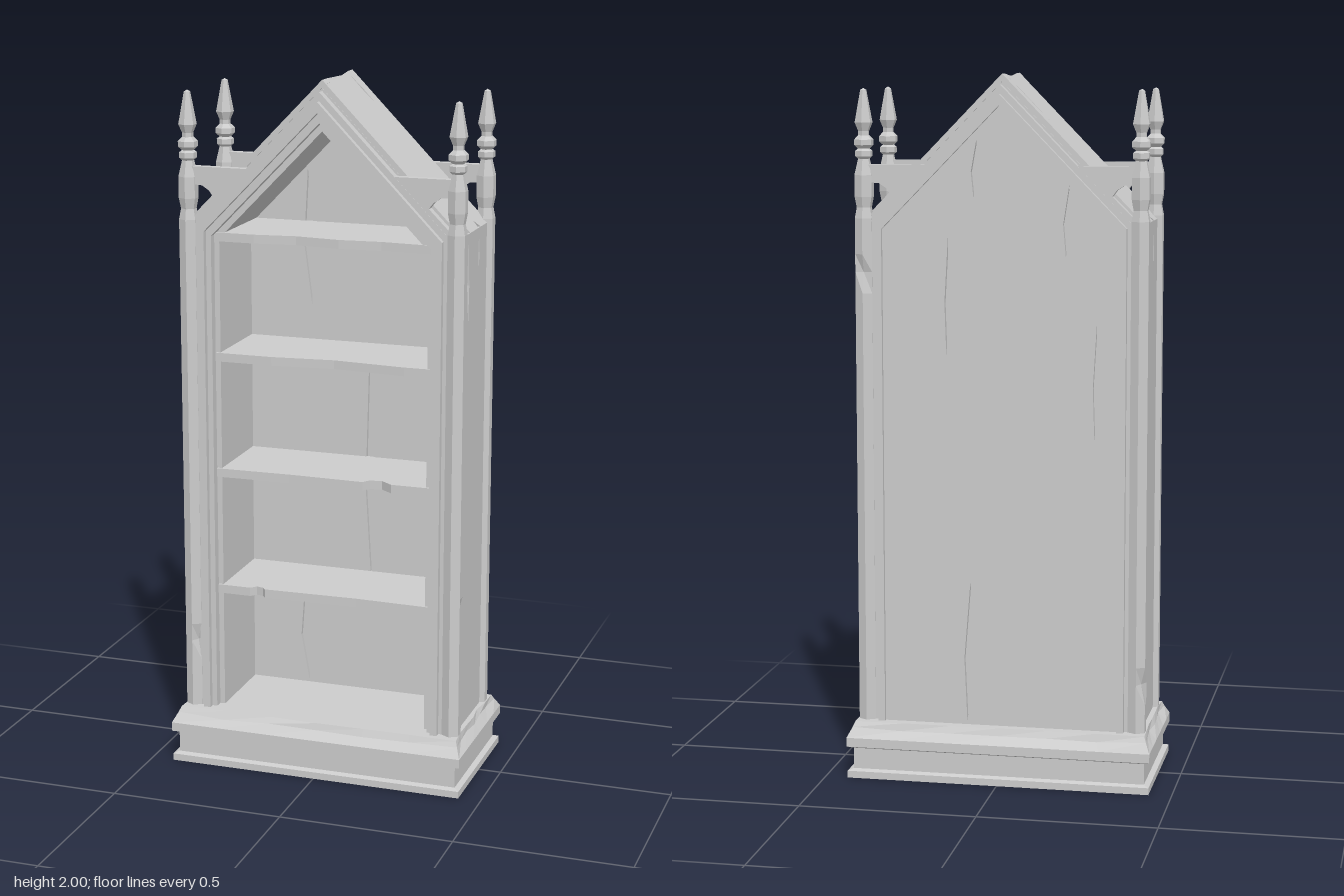
import * as THREE from 'three';

const SLOPE = 1.025; // rise of the gable per unit of half width
const FLOOR = 0.16; // top of the plinth
const mat = new THREE.MeshStandardMaterial({ color: 0xcccccc, flatShading: true, side: THREE.DoubleSide });

let seed = 7;
const rand = () => (seed = (seed * 16807) % 2147483647) / 2147483647;

const toShape = pts => new THREE.Shape(pts.map(p => new THREE.Vector2(p[0], p[1])));
const extrude = (shape, depth) => new THREE.ExtrudeGeometry(shape, { depth, bevelEnabled: false, curveSegments: 6 });

function add(parent, name, geometry) {
  const mesh = new THREE.Mesh(geometry, mat);
  mesh.name = name;
  parent.add(mesh);
  return mesh;
}

// Pointed house outline with half width w and apex height h
const gable = (w, h) => [[w, FLOOR], [w, h - w * SLOPE], [0, h], [-w, h - w * SLOPE], [-w, FLOOR]];

// Gable-shaped band, open at the bottom
const archBand = (wOut, hOut, wIn, hIn, depth) =>
  extrude(toShape([...gable(wOut, hOut), ...gable(wIn, hIn).reverse()]), depth);

// Cuts slim splits [u, v0, v1, half width] through a panel shape
function split(shape, cracks) {
  for (const [u, v0, v1, w] of cracks) {
    const m = v0 + (v1 - v0) * 0.45;
    shape.holes.push(new THREE.Path([[u + w * 0.4, v0], [u + w, m], [u - w * 0.3, v1], [u - w, m]]
      .map(p => new THREE.Vector2(...p))));
  }
  return shape;
}

// Thin outer panel lying in the plane of slope direction v and outward normal n
function skin(parent, name, shape, origin, v, n) {
  const t = 0.015;
  const mesh = add(parent, name, extrude(shape, t).translate(0, 0, -t));
  const u = new THREE.Vector3().crossVectors(v, n);
  mesh.applyMatrix4(new THREE.Matrix4().makeBasis(u, v, n).setPosition(origin));
}

// Moulded plinth from rectangular rings with slightly worn edges
function plinthGeometry() {
  const levels = [[0, 0.435, 0.22], [0.02, 0.435, 0.22], [0.025, 0.42, 0.205], [0.085, 0.42, 0.205],
    [0.092, 0.437, 0.222], [0.118, 0.437, 0.222], [0.145, 0.424, 0.2], [FLOOR, 0.418, 0.19]];
  const n = 6, per = n * 4, pos = [], index = [];
  const corners = [[-1, 1], [1, 1], [1, -1], [-1, -1]];
  levels.forEach(([y, hx, hz], l) => {
    for (let s = 0; s < 4; s++) for (let i = 0; i < n; i++) {
      const a = corners[s], b = corners[(s + 1) % 4], k = i / n;
      const wear = l > 5 && i ? 1 - 0.025 * rand() : 1;
      const dip = l === 6 && i ? 0.008 * rand() : 0;
      pos.push((a[0] + (b[0] - a[0]) * k) * hx * (s % 2 ? wear : 1), y - dip,
        (a[1] + (b[1] - a[1]) * k) * hz * (s % 2 ? 1 : wear));
    }
  });
  for (let l = 0; l < levels.length - 1; l++) for (let i = 0; i < per; i++) {
    const a = l * per + i, b = l * per + (i + 1) % per;
    index.push(a, b, b + per, a, b + per, a + per);
  }
  const top = pos.length / 3;
  pos.push(0, FLOOR, 0, 0, 0, 0);
  for (let i = 0; i < per; i++) {
    const j = (i + 1) % per, o = (levels.length - 1) * per;
    index.push(o + i, o + j, top, j, i, top + 1);
  }
  const g = new THREE.BufferGeometry();
  g.setAttribute('position', new THREE.Float32BufferAttribute(pos, 3));
  g.setIndex(index);
  g.computeVertexNormals();
  return g;
}

// Six-sided column with a turned finial; chips are [height, side]
function columnGeometry(chips) {
  const shaft = [[0.028, FLOOR]];
  for (const [y] of chips) shaft.push([0.028, y - 0.06], [0.028, y], [0.028, y + 0.05]);
  const finial = [[0.028, 1.6], [0.022, 1.63], [0.028, 1.66], [0.028, 1.72], [0.017, 1.765], [0.025, 1.772],
    [0.025, 1.787], [0.017, 1.793], [0.028, 1.803], [0.028, 1.818], [0.016, 1.83], [0.016, 1.842],
    [0.026, 1.865], [0.009, 1.955], [0, 1.96]];
  const profile = [...shaft, ...finial].map(p => new THREE.Vector2(...p));
  const g = new THREE.LatheGeometry(profile, 6), p = g.attributes.position;
  chips.forEach(([, side], c) => {
    const i = side * profile.length + 2 + c * 3;
    p.setXYZ(i, p.getX(i) * 0.5, p.getY(i), p.getZ(i) * 0.5);
  });
  return g;
}

export function createModel() {
  const model = new THREE.Group();
  model.name = 'gabledBookcase';

  add(model, 'plinth', plinthGeometry());

  // Carcass and the stepped mouldings on front and back
  add(model, 'carcass', archBand(0.388, 1.978, 0.305, 1.86, 0.26)).position.z = -0.13;
  for (const side of [1, -1]) {
    const steps = [['outerMoulding', 0.37, 1.97, 0.32, 1.885, 0.13, 0.155],
      ['raisedMoulding', 0.355, 1.945, 0.335, 1.915, 0.155, 0.172]];
    for (const [name, wo, ho, wi, hi, z0, z1] of steps)
      add(model, name, archBand(wo, ho, wi, hi, z1 - z0)).position.z = side > 0 ? z0 : -z1;
  }

  // Back panel: split faces either side of a solid core
  const layer = (name, w, h, z0, z1, cracks) =>
    add(model, name, extrude(split(toShape(gable(w, h)), cracks), z1 - z0)).position.z = z0;
  layer('backPanelInside', 0.31, 1.87, -0.132, -0.12,
    [[-0.125, 1.32, 1.72, 0.017], [0.06, 0.47, 1.18, 0.014], [-0.137, 0.165, 0.48, 0.018]]);
  layer('backPanelCore', 0.32, 1.89, -0.145, -0.132, []);
  layer('backPanelOutside', 0.337, 1.917, -0.16, -0.145,
    [[0.15, 1.22, 1.55, 0.008], [-0.19, 1.5, 1.7, 0.013], [-0.27, 0.99, 1.32, 0.008],
      [0.09, 0.165, 0.58, 0.014], [0.07, 1.66, 1.82, 0.012]]);

  // Side walls and worn roof slopes
  const roofLength = Math.hypot(0.4, 0.41);
  for (const s of [1, -1]) {
    const wall = split(toShape([[-0.13, FLOOR], [0.13, FLOOR], [0.13, 1.59], [-0.13, 1.59]]),
      [[-0.065, 1.33, 1.585, 0.011], [0.04, 1.47, 1.58, 0.006]]);
    skin(model, 'sideWall', wall, new THREE.Vector3(s * 0.4, 0, 0),
      new THREE.Vector3(0, 1, 0), new THREE.Vector3(s, 0, 0));
    const L = roofLength;
    const roof = toShape([[-0.13, 0.01], [-0.115, 0], [-0.068, 0], [-0.055, 0.05], [-0.05, 0], [0.03, 0],
      [0.04, 0.025], [0.055, 0], [0.12, 0], [0.13, 0.012], [0.13, L], [0.09, L], [0.02, L - 0.006],
      [-0.06, L - 0.012], [-0.11, L], [-0.13, L]]);
    // Split running across the ridge
    if (s > 0) split(roof, [[0.083, L - 0.12, L - 0.01, 0.005]]);
    else split(roof, [[-0.083, L - 0.18, L - 0.01, 0.005]]);
    skin(model, 'roofSlope', roof, new THREE.Vector3(s * 0.4, 1.59, 0),
      new THREE.Vector3(-s * 0.4 / L, 0.41 / L, 0), new THREE.Vector3(s * 0.41 / L, 0.4 / L, 0));
  }

  // Shelves: height of the top face and the worn front edge, as [x, z]
  const shelves = [
    [0.53, [[-0.22, 0.137], [-0.205, 0.12], [-0.185, 0.125], [-0.175, 0.137], [0.1, 0.13]]],
    [0.88, [[-0.1, 0.132], [0.12, 0.137], [0.135, 0.115], [0.17, 0.11], [0.205, 0.137]]],
    [1.22, [[-0.15, 0.137], [0.03, 0.118], [0.24, 0.137]]],
    [1.565, [[-0.2, 0.137], [-0.08, 0.122], [0.05, 0.137], [0.17, 0.127]]],
  ];
  for (const [y, edge] of shelves) {
    const outline = [[-0.318, -0.125], [-0.318, 0.137], ...edge, [0.318, 0.137], [0.318, -0.125]];
    const g = extrude(toShape(outline), 0.025).rotateX(Math.PI / 2);
    add(model, 'shelf', g).position.y = y;
  }

  // Corner columns with finials, and pierced brackets tying them to the roof
  const chips = [[[0.52, 2], [1.02, 4]], [[0.9, 5], [1.45, 3]], [[0.36, 1], [1.0, 2]], [[0.3, 4], [1.25, 1]]];
  let c = 0;
  for (const sx of [1, -1]) for (const sz of [1, -1]) {
    add(model, 'cornerColumn', columnGeometry(chips[c++])).position.set(sx * 0.39, 0, sz * 0.142);

    const bracket = toShape([[0.21, 1.75], [0.21, 1.72], [0.36, 1.58], [0.39, 1.58], [0.39, 1.75]]
      .map(([x, y]) => [sx * x, y]));
    bracket.holes.push(new THREE.Path([[0.375, 1.7], [0.345, 1.698], [0.325, 1.685], [0.312, 1.668], [0.375, 1.605]]
      .map(([x, y]) => new THREE.Vector2(sx * x, y))));
    add(model, 'bracket', extrude(bracket, 0.024)).position.z = sz > 0 ? 0.13 : -0.154;
  }
  return model;
}
